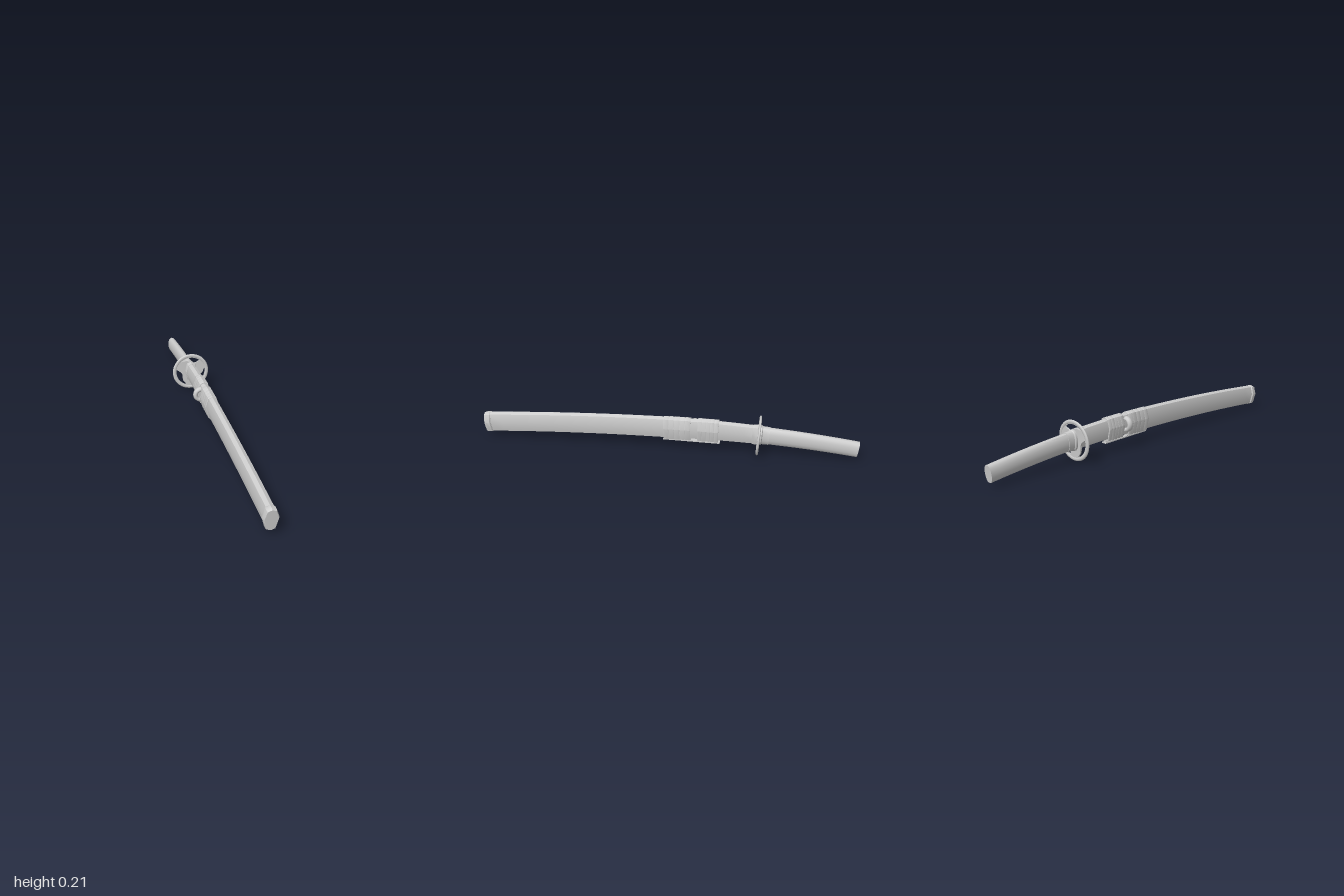
import * as THREE from 'three';
import { toCreasedNormals } from 'three/addons/utils/BufferGeometryUtils.js';

const material = new THREE.MeshStandardMaterial({ color: 0xcccccc, side: THREE.DoubleSide });

// Height of the curved centre line at a given z, and its slope
const bend = z => 0.121 - (z > -0.1 ? 0.034 : 0.07) * (z + 0.1) ** 2;
const slope = z => -2 * (z > -0.1 ? 0.034 : 0.07) * (z + 0.1);

// Half outlines in units of half width and half height, from top to bottom
const faceted = [[0, 1], [0.6, 0.85], [1, 0.12], [0.58, -0.86], [0, -1]];
const oval = Array.from({ length: 9 }, (_, i) => {
  const a = i / 8 * Math.PI;
  return [Math.sin(a) ** 0.8, Math.cos(a)];
});
oval[0][0] = oval[8][0] = 0;

// Sweep an outline along the bend; stations are [z, half width, half height]
function sweep(name, half, stations, drop = 0, crease = 0.65) {
  const left = half.slice(1, -1).map(([x, y]) => [-x, y]);
  const outline = [...left.reverse(), half[half.length - 1], ...half.slice(1, -1).reverse(), half[0]].map(p => [...p]);
  const ring = [half[0], ...half.slice(1, -1).map(([x, y]) => [-x, y]), half[half.length - 1], ...half.slice(1, -1).reverse()];
  const n = outline.length, pos = [], idx = [];
  for (const [z, w, h] of stations) {
    for (const [x, y] of ring) pos.push(x * w, bend(z) - drop + y * h, z - slope(z) * y * h);
  }
  const last = stations.length - 1;
  for (let i = 0; i < last; i++) {
    for (let j = 0; j < n; j++) {
      const a = i * n + j, b = i * n + (j + 1) % n;
      idx.push(a, b, b + n, a, b + n, a + n);
    }
  }
  for (const i of [0, last]) {
    const z = stations[i][0], c = pos.length / 3;
    pos.push(0, bend(z) - drop, z);
    for (let j = 0; j < n; j++) {
      const a = i * n + j, b = i * n + (j + 1) % n;
      idx.push(...(i ? [a, b, c] : [b, a, c]));
    }
  }
  const geometry = new THREE.BufferGeometry();
  geometry.setAttribute('position', new THREE.Float32BufferAttribute(pos, 3));
  geometry.setIndex(idx);
  return mesh(name, toCreasedNormals(geometry, crease));
}

function mesh(name, geometry) {
  const m = new THREE.Mesh(geometry, material);
  m.name = name;
  return m;
}

// Round guard with three swirling openings
function createGuard() {
  const guard = new THREE.Group();
  guard.name = 'guard';
  const plate = new THREE.Shape().absarc(0, 0, 0.095, 0, Math.PI * 2);
  const innerEdge = [[0, 0.079], [0.1, 0.061], [0.22, 0.053], [0.38, 0.052], [0.55, 0.059], [0.75, 0.071], [1, 0.083]];
  const sweepAngle = 1.43;
  for (let k = 0; k < 3; k++) {
    const start = THREE.MathUtils.degToRad(50 + 120 * k);
    const hole = new THREE.Path();
    const points = [];
    for (let i = 0; i <= 12; i++) {
      const a = start + i / 12 * sweepAngle;
      points.push(new THREE.Vector2(Math.cos(a), Math.sin(a)).multiplyScalar(0.084));
    }
    for (const [t, r] of [...innerEdge].reverse()) {
      const a = start + t * sweepAngle;
      points.push(new THREE.Vector2(Math.cos(a), Math.sin(a)).multiplyScalar(r));
    }
    hole.setFromPoints(points);
    plate.holes.push(hole);
  }
  const plateGeometry = new THREE.ExtrudeGeometry(plate, { depth: 0.008, bevelEnabled: false, curveSegments: 32 });
  plateGeometry.translate(0, 0, -0.004);
  const rim = mesh('guardRim', new THREE.TorusGeometry(0.0945, 0.0105, 10, 56));
  rim.scale.z = 0.6;
  guard.add(mesh('guardPlate', plateGeometry), rim);
  guard.position.set(0, 0.107, -0.482);
  guard.rotation.x = -0.055;
  return guard;
}

export function createModel() {
  const sword = new THREE.Group();
  sword.name = 'sheathedSword';

  // Scabbard, slightly deeper in the middle
  const body = [];
  for (let i = 0; i <= 20; i++) {
    const z = -0.475 + i / 20 * 1.445;
    body.push([z, 0.031, z < 0 ? 0.061 + z * 0.018 : 0.061 - z * 0.004]);
  }
  sword.add(sweep('scabbard', faceted, body));
  sword.add(sweep('scabbardTip', faceted, [
    [0.962, 0.032, 0.056], [0.967, 0.038, 0.059], [0.987, 0.038, 0.058], [0.997, 0.033, 0.054]]));
  sword.add(sweep('scabbardMouth', faceted, [
    [-0.476, 0.036, 0.057], [-0.462, 0.036, 0.057], [-0.448, 0.031, 0.054]]));

  // Handle and its collar
  const grip = [];
  for (let i = 0; i <= 10; i++) {
    grip.push([-0.485 - i * 0.0509, 0.0245, 0.048 - i * 0.0005]);
  }
  sword.add(sweep('handle', oval, grip.reverse()));
  sword.add(sweep('handleCollar', oval, [
    [-0.536, 0.027, 0.05], [-0.5, 0.027, 0.051], [-0.496, 0.034, 0.054], [-0.485, 0.034, 0.054]]));
  sword.add(createGuard());

  // Cord wrapped in two ribbed bands
  for (const [from, to] of [[-0.272, -0.162], [-0.124, 0.018]]) {
    const turns = 5, step = (to - from) / turns, ribs = [];
    for (let i = 0; i < turns; i++) {
      const z = from + i * step;
      ribs.push([z, 0.0355, 0.065], [z + step * 0.12, 0.0372, 0.0665],
        [z + step * 0.88, 0.0372, 0.0665], [z + step * 0.999, 0.0355, 0.065]);
    }
    sword.add(sweep('cordWrap', faceted, ribs, 0.003));
  }

  // Flat cord strip beneath the wraps
  const strip = mesh('cordStrip', new THREE.BoxGeometry(0.026, 0.006, 0.3));
  strip.position.set(0, 0.052, -0.13);
  strip.rotation.x = -0.015;
  sword.add(strip);

  // Loop knob on the side of the scabbard
  const knob = mesh('cordKnob', new THREE.TorusGeometry(0.03, 0.0125, 10, 20, Math.PI));
  knob.rotation.z = Math.PI / 2;
  knob.position.set(-0.023, 0.125, -0.143);
  knob.scale.z = 1.35;
  sword.add(knob);

  return sword;
}
